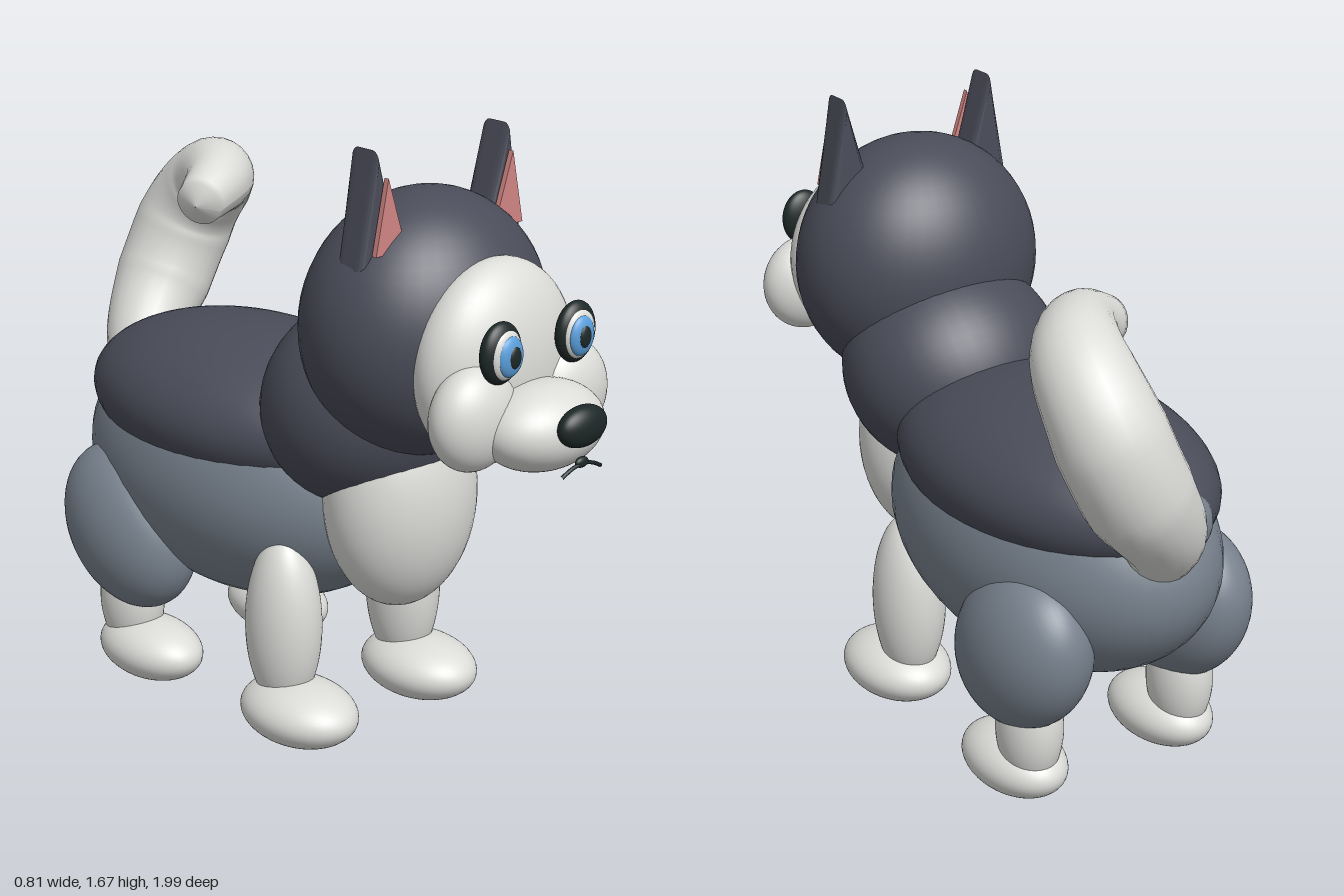
import * as THREE from 'three';

const mat = (name, color, side = THREE.FrontSide) => {
  const m = new THREE.MeshStandardMaterial({ color, side });
  m.name = name;
  return m;
};

export function createModel() {
  const charcoal = mat('charcoal', 0x4a4c59);
  const grey = mat('slate grey', 0x78828e);
  const white = mat('off white', 0xdcddd9);
  const black = mat('black', 0x1d2727);
  const blue = mat('blue', 0x5a9fdc);
  const pink = mat('pink', 0xcf8583);

  const dog = new THREE.Group();
  dog.name = 'dog';

  const add = (name, geometry, material) => {
    const m = new THREE.Mesh(geometry, material);
    m.name = name;
    dog.add(m);
    return m;
  };
  const ball = new THREE.SphereGeometry(1, 44, 30);
  // Ellipsoid from centre, radii and a tilt about x
  const blob = (name, material, pos, radii, tilt = 0) => {
    const m = add(name, ball, material);
    m.position.set(...pos);
    m.scale.set(...radii);
    m.rotation.x = tilt;
    return m;
  };

  // Torso
  blob('body', grey, [0, 0.64, -0.24], [0.355, 0.36, 0.575]);
  blob('saddle', charcoal, [0, 0.82, -0.25], [0.355, 0.22, 0.54]);
  blob('tailRoot', grey, [-0.02, 0.81, -0.71], [0.12, 0.1, 0.1]);
  blob('neck', charcoal, [0, 0.935, 0.24], [0.31, 0.3, 0.28], Math.PI / 4);
  blob('chest', white, [0, 0.7, 0.34], [0.22, 0.31, 0.185]);

  // Head and face
  blob('head', charcoal, [0, 1.19, 0.42], [0.347, 0.348, 0.29]);
  blob('face', white, [0, 1.14, 0.665], [0.25, 0.265, 0.14]);
  blob('muzzle', white, [0, 1.015, 0.83], [0.18, 0.112, 0.135]);
  blob('nose', black, [0, 1.045, 0.963], [0.08, 0.053, 0.037]);

  // Mouth: a small lip and a thin downturned line
  blob('lip', black, [0, 0.953, 0.965], [0.022, 0.014, 0.01]);
  const mouthLine = new THREE.CatmullRomCurve3([
    [-0.07, 0.928, 0.965], [-0.035, 0.944, 0.967], [0, 0.95, 0.968],
    [0.035, 0.944, 0.967], [0.07, 0.928, 0.965],
  ].map((p) => new THREE.Vector3(...p)));
  add('mouth', new THREE.TubeGeometry(mouthLine, 20, 0.005, 8), black);

  for (const [side, s] of [['left', 1], ['right', -1]]) {
    blob(side + 'Cheek', white, [s * 0.163, 1.05, 0.755], [0.13, 0.135, 0.088]);

    // Eye in stacked layers
    blob(side + 'EyeRim', black, [s * 0.133, 1.222, 0.812], [0.066, 0.079, 0.032]);
    blob(side + 'EyeWhite', white, [s * 0.13, 1.22, 0.828], [0.052, 0.063, 0.022]);
    blob(side + 'Iris', blue, [s * 0.127, 1.218, 0.838], [0.042, 0.052, 0.02]);
    blob(side + 'Pupil', black, [s * 0.125, 1.218, 0.852], [0.021, 0.029, 0.01]);

    // Ear with bevelled edges and a pink lining
    const triangle = (a, b, tip, y0, y1) => new THREE.Shape([
      new THREE.Vector2(s * a, y0), new THREE.Vector2(s * b, y0), new THREE.Vector2(s * tip, y1),
    ]);
    const ear = new THREE.ExtrudeGeometry(triangle(0.142, 0.285, 0.23, 1.38, 1.675), {
      depth: 0.05, bevelThickness: 0.022, bevelSize: 0.02, bevelOffset: -0.02, bevelSegments: 4,
    });
    add(side + 'Ear', ear, charcoal).position.z = 0.415;
    const lining = new THREE.ExtrudeGeometry(triangle(0.155, 0.258, 0.218, 1.42, 1.61), {
      depth: 0.015, bevelEnabled: false,
    });
    add(side + 'EarLining', lining, pink).position.z = 0.495;

    // Front leg
    blob(side + 'FrontLeg', white, [s * 0.222, 0.325, 0.128], [0.098, 0.25, 0.11]);
    blob(side + 'FrontPaw', white, [s * 0.225, 0.094, 0.193], [0.137, 0.088, 0.183]);

    // Back leg
    blob(side + 'Haunch', grey, [s * 0.255, 0.443, -0.478], [0.152, 0.248, 0.209], -Math.PI / 4);
    blob(side + 'BackLeg', white, [s * 0.245, 0.22, -0.49], [0.085, 0.17, 0.1]);
    blob(side + 'BackPaw', white, [s * 0.24, 0.087, -0.415], [0.12, 0.087, 0.178]);
  }

  // Tail: curled tube, its rings scaled to a varying radius and closed at the tip
  const tailPath = new THREE.CatmullRomCurve3([
    [0.0, 0.74, -0.71], [0.08, 0.86, -0.81], [0.2, 1.02, -0.855], [0.27, 1.2, -0.82],
    [0.26, 1.31, -0.71], [0.16, 1.335, -0.58], [0.03, 1.3, -0.515],
  ].map((p) => new THREE.Vector3(...p)));
  const rings = 48, sides = 24;
  const tailRadii = [0.09, 0.115, 0.14, 0.142, 0.125, 0.095, 0.062];
  const tail = new THREE.TubeGeometry(tailPath, rings, 1, sides);
  const p = tail.attributes.position, v = new THREE.Vector3();
  for (let i = 0; i <= rings; i++) {
    const t = i / rings;
    const c = tailPath.getPointAt(t);
    const f = t * (tailRadii.length - 1);
    const k = Math.min(Math.floor(f), tailRadii.length - 2);
    const r = i === rings ? 0.001 : THREE.MathUtils.lerp(tailRadii[k], tailRadii[k + 1], f - k);
    for (let j = 0; j <= sides; j++) {
      const n = i * (sides + 1) + j;
      v.fromBufferAttribute(p, n).sub(c).multiplyScalar(r).add(c);
      p.setXYZ(n, v.x, v.y, v.z);
    }
  }
  tail.computeVertexNormals();
  add('tail', tail, white);

  return dog;
}
